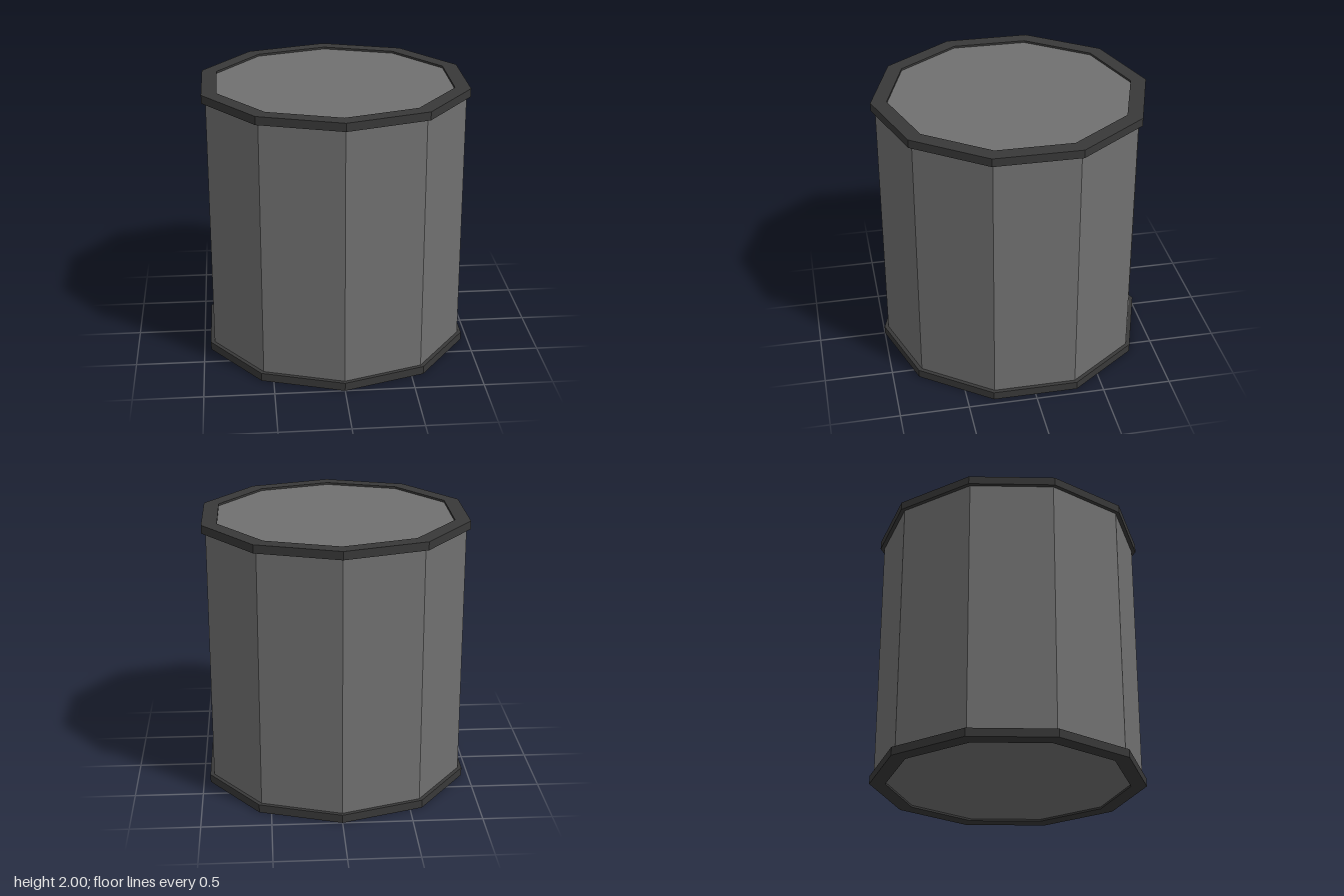
import * as THREE from 'three';

const SIDES = 10;
const HEIGHT = 2;
const RIM_HEIGHT = 0.06;
const RECESS = 0.015;

export function createModel() {
  const model = new THREE.Group();
  model.name = 'drum';

  const bodyGrey = new THREE.MeshStandardMaterial({ color: 0x707070, flatShading: true });
  bodyGrey.name = 'body grey';
  const rimGrey = new THREE.MeshStandardMaterial({ color: 0x383838, flatShading: true });
  rimGrey.name = 'rim dark grey';

  // Ten-sided body; its end faces sit slightly inside the rims
  const body = new THREE.Mesh(
    new THREE.CylinderGeometry(0.97, 0.97, HEIGHT - 2 * RECESS, SIDES),
    bodyGrey
  );
  body.name = 'body';
  body.position.y = HEIGHT / 2;
  model.add(body);

  // Rectangular ring section, revolved into the two rims
  const section = [[0.885, 0], [1, 0], [1, RIM_HEIGHT], [0.885, RIM_HEIGHT], [0.885, 0]]
    .map(([r, y]) => new THREE.Vector2(r, y));
  const rimGeometry = new THREE.LatheGeometry(section, SIDES);
  for (const [name, y] of [['bottomRim', 0], ['topRim', HEIGHT - RIM_HEIGHT]]) {
    const rim = new THREE.Mesh(rimGeometry, rimGrey);
    rim.name = name;
    rim.position.y = y;
    model.add(rim);
  }

  return model;
}
